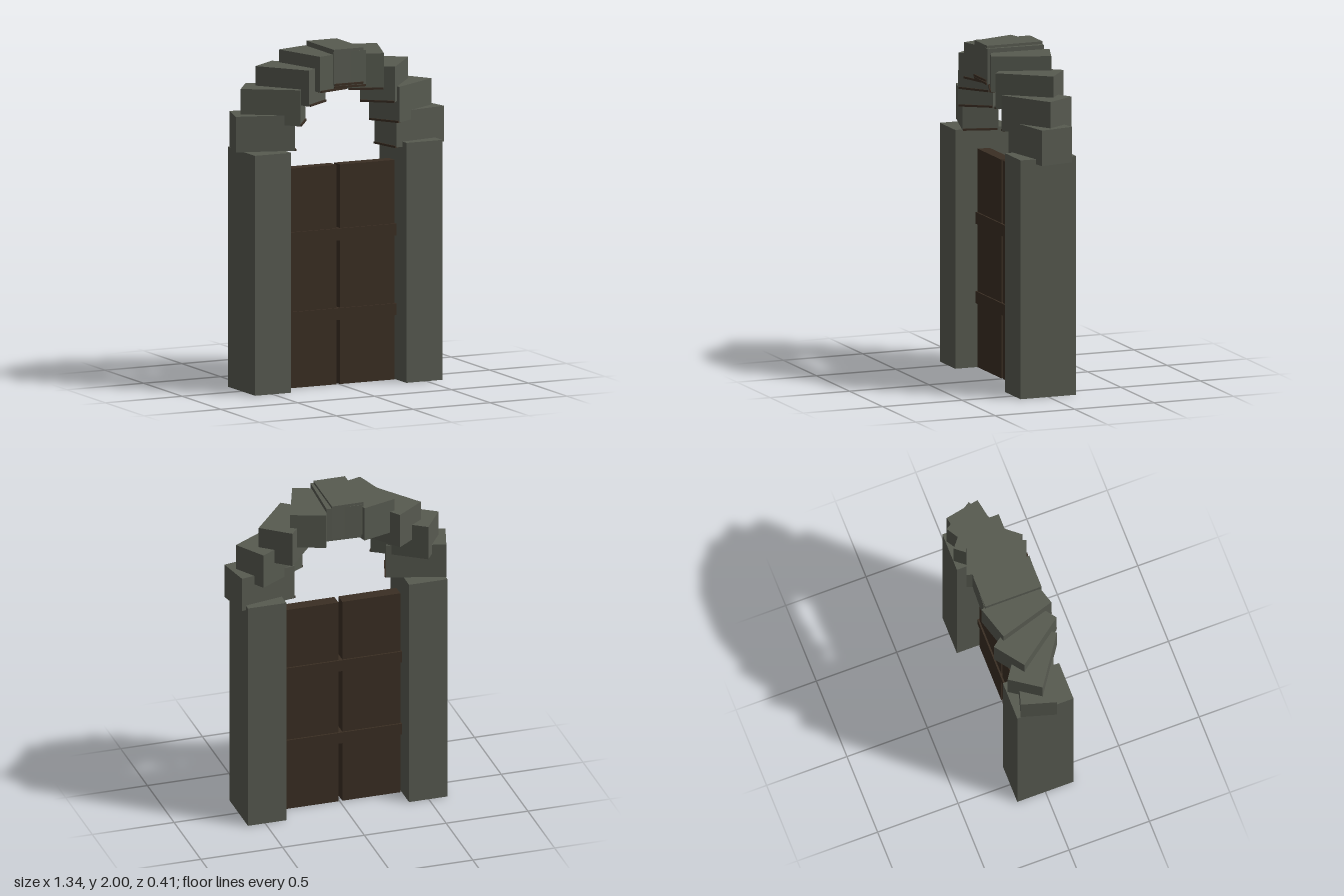
import * as THREE from 'three';

export function createModel() {
  const model = new THREE.Group();
  model.name = 'archedGateway';
  const stone = new THREE.MeshStandardMaterial({ color: 0x575a50 });
  stone.name = 'grey stone';
  const wood = new THREE.MeshStandardMaterial({ color: 0x3a2e23 });
  wood.name = 'dark wood';

  const box = (name, material, [w, h, d], [x, y, z], parent = model) => {
    const mesh = new THREE.Mesh(new THREE.BoxGeometry(w, h, d), material);
    mesh.name = name;
    mesh.position.set(x, y, z);
    parent.add(mesh);
    return mesh;
  };

  // Stone pillars
  box('rightPillar', stone, [0.235, 1.415, 0.35], [-0.497, 0.7075, 0]);
  box('leftPillar', stone, [0.235, 1.415, 0.35], [0.488, 0.7075, 0]);

  // Double door and the crossbars running through both leaves
  box('rightDoor', wood, [0.355, 1.295, 0.075], [-0.194, 0.6475, 0]);
  box('leftDoor', wood, [0.355, 1.295, 0.075], [0.185, 0.6475, 0]);
  for (const y of [0.415, 0.885]) {
    box('crossbar', wood, [0.752, 0.07, 0.095], [-0.004, y, 0]);
  }

  // Arch stones, each turned about the vertical: x, bottom height, turn in degrees, width
  const stones = [
    [-0.477, 1.42, 73.4, 0.21],
    [-0.408, 1.57, 55.5, 0.21],
    [-0.294, 1.685, 36.5, 0.21],
    [-0.15, 1.76, 16.6, 0.21],
    [-0.004, 1.79, 0, 0.193],
    [0.011, 1.775, -2.5, 0.21],
    [0.175, 1.75, -20, 0.21],
    [0.314, 1.665, -39.3, 0.21],
    [0.419, 1.54, -58.5, 0.21],
    [0.478, 1.385, -79, 0.21],
  ];
  for (const [x, y, turn, width] of stones) {
    const group = new THREE.Group();
    group.name = 'archStone';
    group.position.set(x, y, -0.003);
    group.rotation.y = THREE.MathUtils.degToRad(turn);
    box('stoneBlock', stone, [width, 0.21, 0.35], [0, 0.105, 0], group);
    // Thin wooden shim under the front end
    box('shim', wood, [width * 0.96, 0.012, 0.03], [0, 0.003, 0.168], group);
    model.add(group);
  }
  return model;
}
